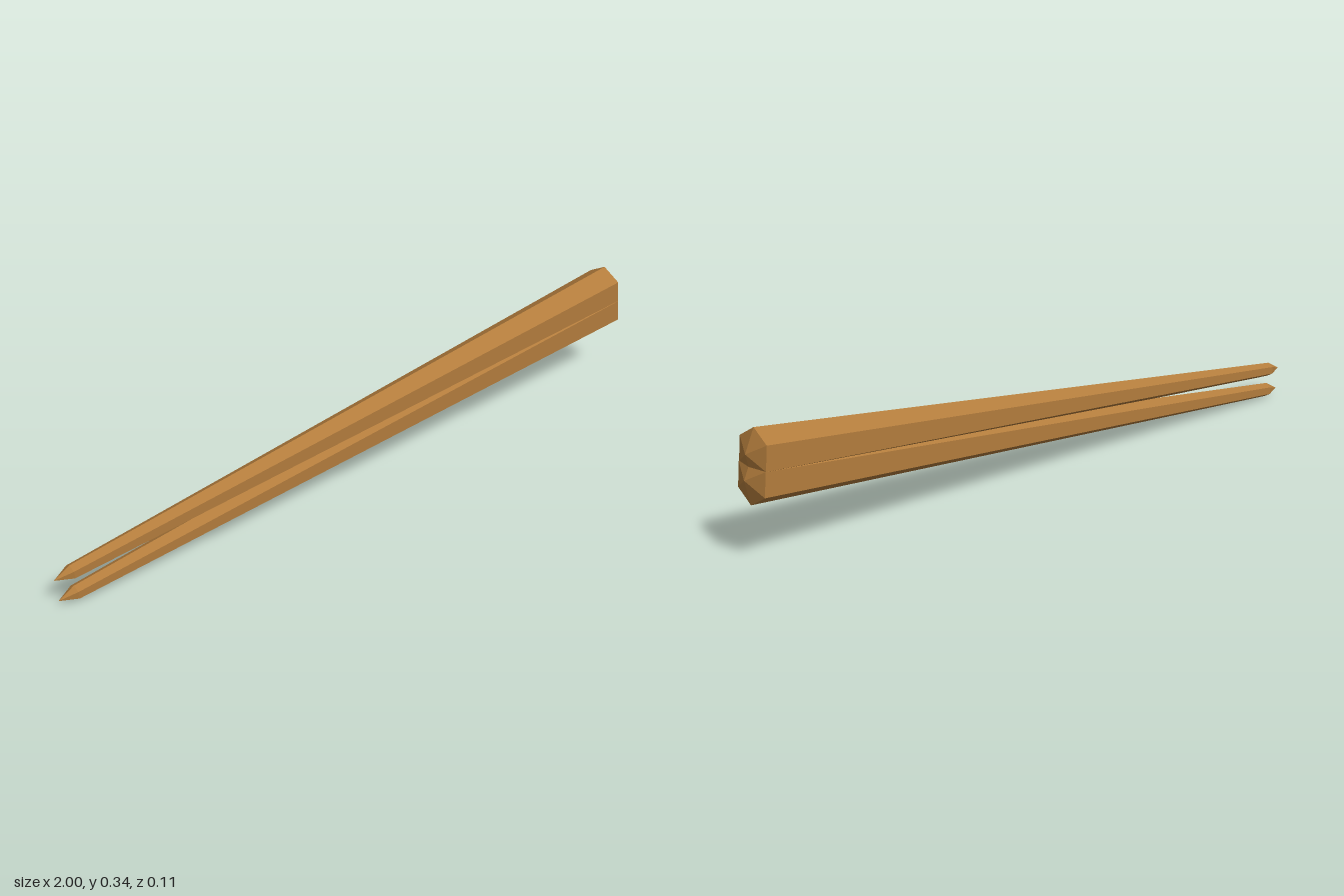
import * as THREE from 'three';

// One six-sided tapered stick running from its thin tip to its thick butt
function makeStick(name, tip, butt, material) {
  const axis = butt.clone().sub(tip);
  const length = axis.length();
  const profile = [
    new THREE.Vector2(0, 0),               // pointed tip
    new THREE.Vector2(0.021, 0.05),        // neck behind the tip
    new THREE.Vector2(0.065, length - 0.022), // thick end
    new THREE.Vector2(0, length),          // shallow pointed cap
  ];
  // phiStart puts a ridge on the top and the bottom of the stick
  const geometry = new THREE.LatheGeometry(profile, 6, Math.PI / 2);
  const stick = new THREE.Mesh(geometry, material);
  stick.name = name;
  stick.position.copy(tip);
  stick.quaternion.setFromUnitVectors(new THREE.Vector3(0, 1, 0), axis.normalize());
  return stick;
}

export function createModel() {
  const group = new THREE.Group();
  group.name = 'chopsticks';

  const wood = new THREE.MeshStandardMaterial({ color: 0xb27c3c, flatShading: true });
  wood.name = 'wood';

  // Two parallel sticks, overlapping at the thick end
  const tip = new THREE.Vector3(-0.993, 0.016, -0.019);
  const butt = new THREE.Vector3(1, 0.217, 0);
  const offset = new THREE.Vector3(-0.007, 0.065, 0);
  group.add(makeStick('lowerStick', tip, butt, wood));
  group.add(makeStick('upperStick', tip.clone().add(offset), butt.clone().add(offset), wood));

  return group;
}
